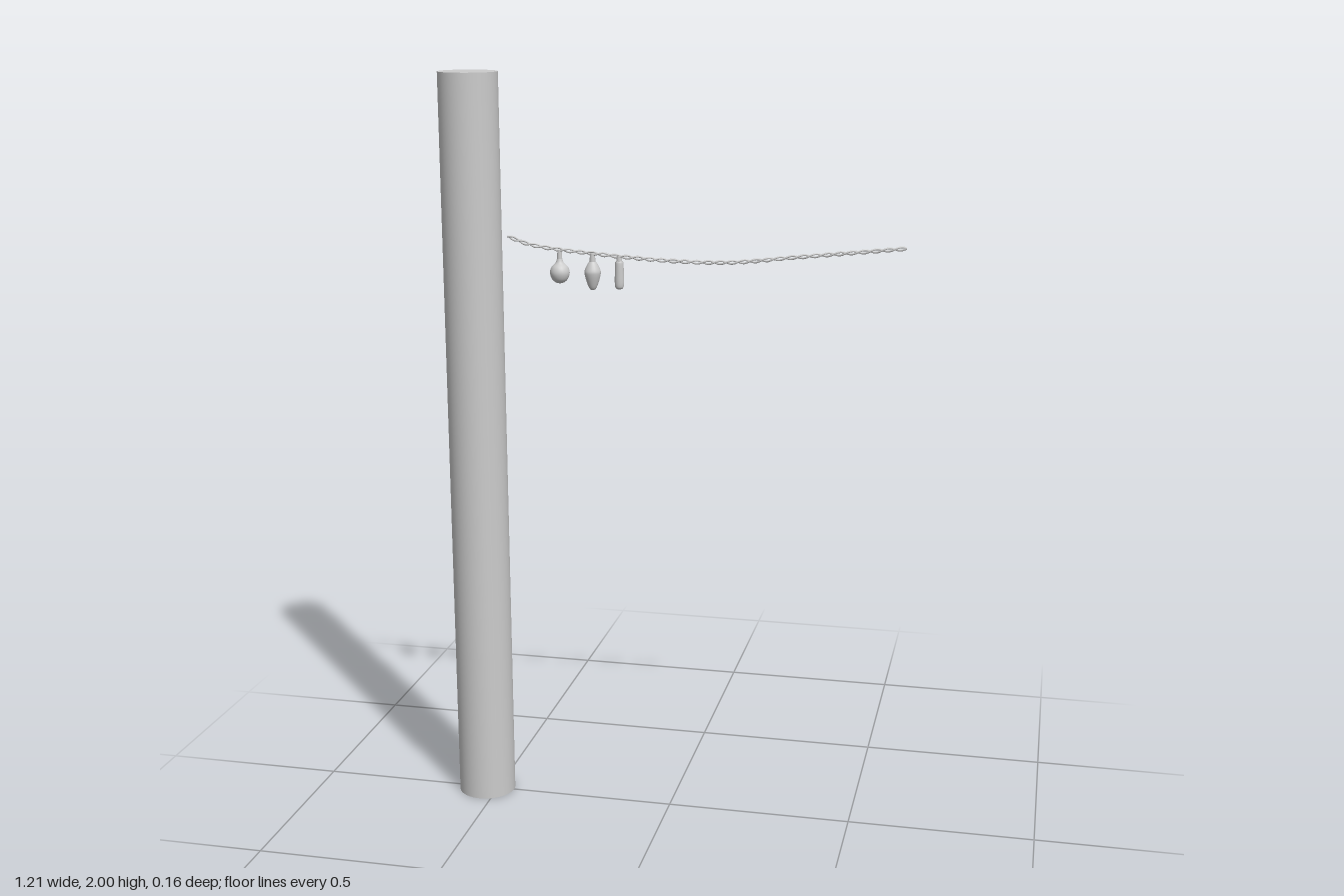
import * as THREE from 'three';

const material = new THREE.MeshStandardMaterial({ color: 0xcccccc, side: THREE.DoubleSide });
const WIRE_Z = -0.03;

function addMesh(parent, name, geometry, x = 0, y = 0, z = 0) {
  const mesh = new THREE.Mesh(geometry, material);
  mesh.name = name;
  mesh.position.set(x, y, z);
  parent.add(mesh);
  return mesh;
}

// Smooth surface of revolution through [radius, y] points
function turned(points) {
  const curve = new THREE.SplineCurve(points.map(([r, y]) => new THREE.Vector2(r, y)));
  const profile = curve.getPoints(28);
  profile.forEach((p) => { p.x = Math.max(p.x, 0); });
  return new THREE.LatheGeometry(profile, 24);
}

export function createModel() {
  const model = new THREE.Group();
  model.name = 'stringLightsOnPost';

  // Hollow post closed by a flat top
  const post = new THREE.Group();
  post.name = 'post';
  post.position.x = -0.531;
  model.add(post);
  addMesh(post, 'postShaft', new THREE.CylinderGeometry(0.078, 0.078, 2, 48, 1, true), 0, 1);
  addMesh(post, 'postTop', new THREE.CircleGeometry(0.078, 48).rotateX(-Math.PI / 2), 0, 2);

  // Sagging centre line of the cable
  const sag = new THREE.CatmullRomCurve3([
    [-0.443, 1.574], [-0.38, 1.554], [-0.2, 1.535], [0.02, 1.523],
    [0.155, 1.525], [0.325, 1.544], [0.603, 1.575],
  ].map(([x, y]) => new THREE.Vector3(x, y, WIRE_Z)));

  // Two strands twisted around each other
  const cable = new THREE.Group();
  cable.name = 'twistedCable';
  model.add(cable);
  const centres = sag.getSpacedPoints(280);
  const twists = 17;
  for (const phase of [0, Math.PI]) {
    const path = centres.map((c, i) => {
      const a = (i / 280) * twists * Math.PI * 2 + phase;
      return new THREE.Vector3(c.x, c.y + 0.004 * Math.sin(a), c.z + 0.004 * Math.cos(a));
    });
    const strand = new THREE.CatmullRomCurve3(path);
    addMesh(cable, phase ? 'strandB' : 'strandA', new THREE.TubeGeometry(strand, 560, 0.0025, 8));
  }

  // Hanging bulbs: glass profiles measured down from the cable
  const bulbs = [
    { name: 'globeBulb', x: -0.302, y: 1.543, socket: 0.007, glass: [
      [0.007, -0.024], [0.011, -0.034], [0.022, -0.046], [0.026, -0.061],
      [0.021, -0.077], [0.011, -0.086], [0, -0.089]] },
    { name: 'pointedBulb', x: -0.213, y: 1.537, socket: 0.008, glass: [
      [0.009, -0.022], [0.015, -0.032], [0.021, -0.046], [0.021, -0.056],
      [0.017, -0.072], [0.011, -0.089], [0.006, -0.096], [0, -0.098]] },
    { name: 'tubeBulb', x: -0.141, y: 1.532, socket: 0.008, glass: [
      [0.009, -0.014], [0.011, -0.02], [0.012, -0.05],
      [0.012, -0.075], [0.009, -0.085], [0, -0.089]] },
  ];
  for (const { name, x, y, socket, glass } of bulbs) {
    const bulb = new THREE.Group();
    bulb.name = name;
    bulb.position.set(x, y, WIRE_Z);
    model.add(bulb);
    const length = -glass[0][1] + 0.003;
    addMesh(bulb, 'socket', new THREE.CylinderGeometry(socket * 0.8, socket, length, 20), 0, -length / 2);
    addMesh(bulb, 'glass', turned([...glass].reverse()));
  }

  return model;
}
